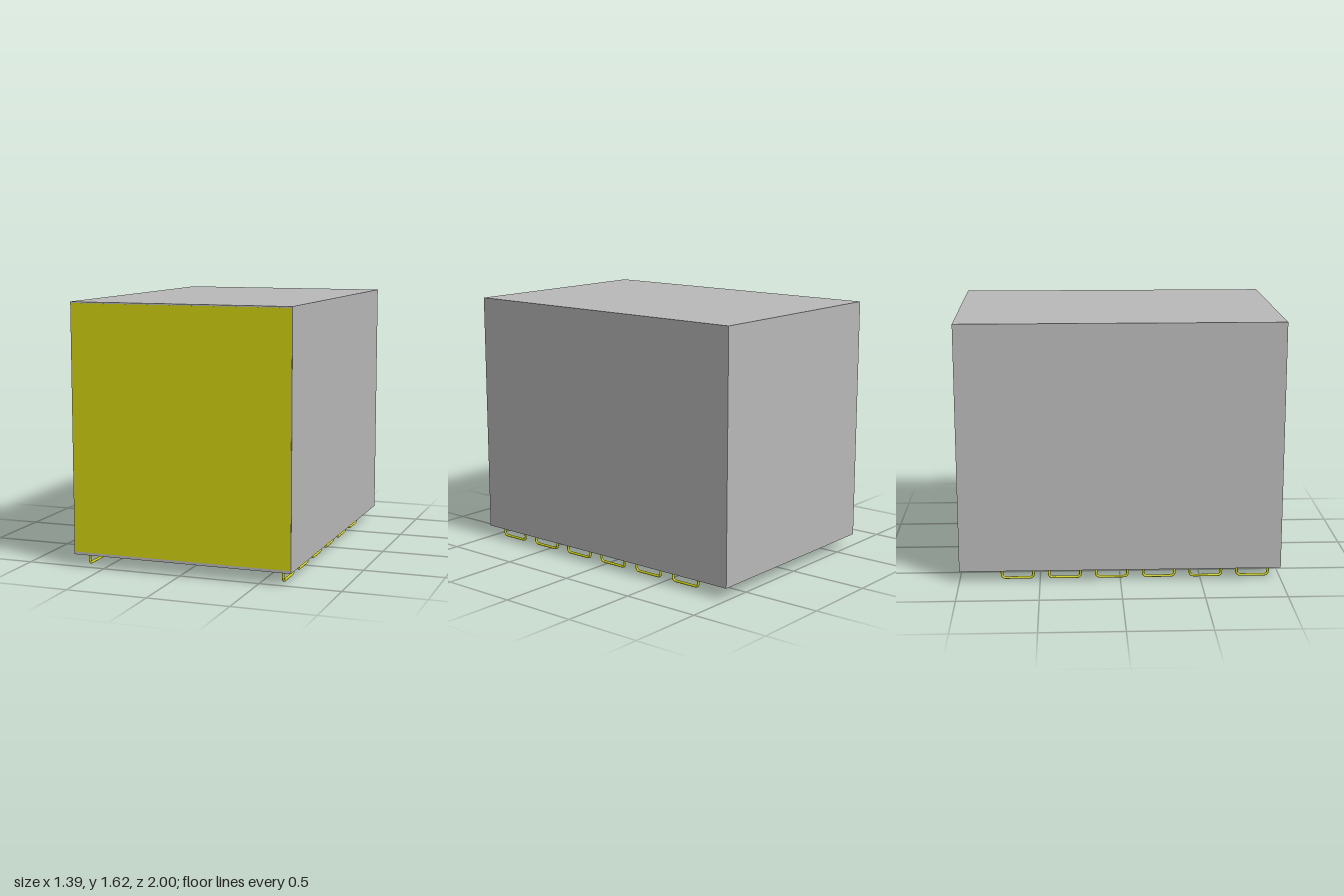
import * as THREE from 'three';

const grey = new THREE.MeshStandardMaterial({ color: 0xb8b8b8 });
grey.name = 'casing grey';
const yellow = new THREE.MeshStandardMaterial({ color: 0xd0d010 });
yellow.name = 'bright yellow';

// Square U of round rod with rounded corners, hanging below the casing
function handleGeometry(halfLength, top, rod, bend) {
  const v = (y, z) => new THREE.Vector3(0, y, z);
  const h = halfLength - rod, low = rod;
  const path = new THREE.CurvePath();
  path.add(new THREE.LineCurve3(v(top, h), v(low + bend, h)));
  path.add(new THREE.QuadraticBezierCurve3(v(low + bend, h), v(low, h), v(low, h - bend)));
  path.add(new THREE.LineCurve3(v(low, h - bend), v(low, bend - h)));
  path.add(new THREE.QuadraticBezierCurve3(v(low, bend - h), v(low, -h), v(low + bend, -h)));
  path.add(new THREE.LineCurve3(v(low + bend, -h), v(top, -h)));
  return new THREE.TubeGeometry(path, 64, rod, 10, false);
}

export function createModel() {
  const model = new THREE.Group();
  model.name = 'cabinet';

  // Casing
  const bottom = 0.075, top = 1.622;
  const casing = new THREE.Mesh(new THREE.BoxGeometry(1.39, top - bottom, 1.998), grey);
  casing.name = 'casing';
  casing.position.y = (bottom + top) / 2;
  model.add(casing);

  // Front panel, leaving a thin grey border
  const panel = new THREE.Mesh(new THREE.BoxGeometry(1.38, 1.521, 0.004), yellow);
  panel.name = 'frontPanel';
  panel.position.set(0.002, 0.8525, 0.998);
  model.add(panel);

  // Two rows of six underside handles
  const geometry = handleGeometry(0.106, bottom + 0.005, 0.008, 0.025);
  for (const side of [-1, 1]) {
    const row = new THREE.Group();
    row.name = side > 0 ? 'leftHandles' : 'rightHandles';
    for (let i = 0; i < 6; i++) {
      const handle = new THREE.Mesh(geometry, yellow);
      handle.name = 'handle';
      handle.position.set(side * 0.626, 0, 0.83 - i * 0.294);
      row.add(handle);
    }
    model.add(row);
  }
  return model;
}
